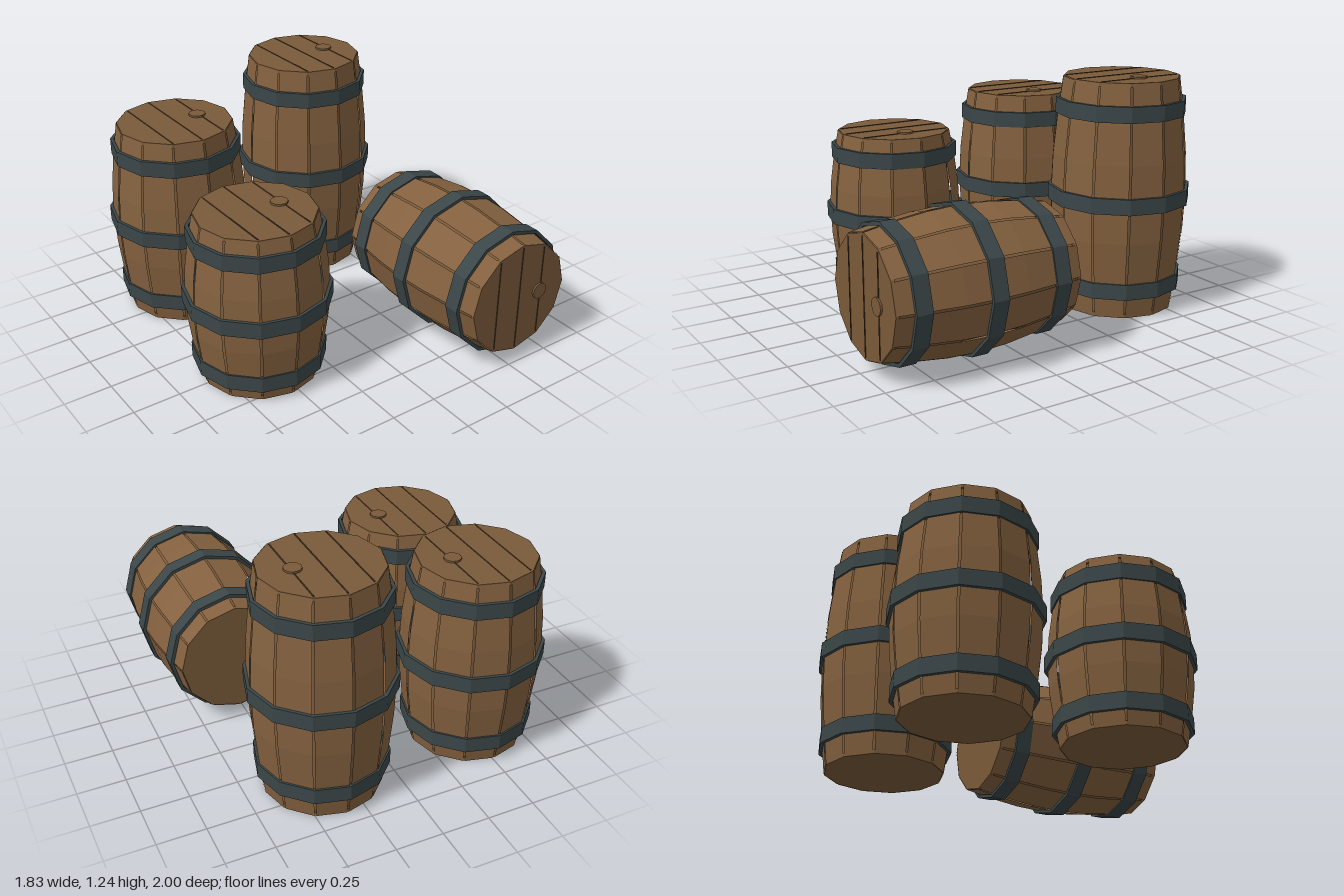
import * as THREE from 'three';

const SIDES = 12;
const material = (name, color, side = THREE.FrontSide) =>
  new THREE.MeshStandardMaterial({ name, color, side });
const staveWood = material('stave wood', 0x84613f, THREE.DoubleSide);
const lidWood = material('lid wood', 0x7a5a39);
const seamWood = material('dark seam', 0x4a3522);
const iron = material('iron band', 0x3b4648);

// Unshared corners give crisp facets
function faceted(geometry) {
  const g = geometry.index ? geometry.toNonIndexed() : geometry;
  g.computeVertexNormals();
  return g;
}

function add(parent, name, geometry, mat, x = 0, y = 0, z = 0) {
  const mesh = new THREE.Mesh(geometry, mat);
  mesh.name = name;
  mesh.position.set(x, y, z);
  parent.add(mesh);
  return mesh;
}

const bulge = t => 0.305 + 0.055 * Math.sin(Math.PI * t);

// One bowed plank, leaving a narrow slit at each side
function staveGeometry(height) {
  const rows = 6, slit = 0.015, step = 2 * Math.PI / SIDES;
  const positions = [], index = [];
  for (let i = 0; i <= rows; i++) {
    const r = bulge(i / rows);
    for (const a of [slit, step - slit]) {
      positions.push(r * Math.sin(a), i / rows * height, r * Math.cos(a));
    }
    if (i < rows) {
      const k = 2 * i;
      index.push(k, k + 1, k + 3, k, k + 3, k + 2);
    }
  }
  const g = new THREE.BufferGeometry();
  g.setAttribute('position', new THREE.Float32BufferAttribute(positions, 3));
  g.setIndex(index);
  return faceted(g);
}

// Twelve-sided hoop with a rectangular section
function bandGeometry(outer) {
  const inner = outer - 0.018, h = 0.0415;
  const profile = [[inner, -h], [outer, -h], [outer, h], [inner, h], [inner, -h]]
    .map(([r, y]) => new THREE.Vector2(r, y));
  return faceted(new THREE.LatheGeometry(profile, SIDES));
}

const disc = (r, h, sides = SIDES) => faceted(new THREE.CylinderGeometry(r, r, h, sides));

function makeBarrel(name, height) {
  const barrel = new THREE.Group();
  barrel.name = name;

  // Staves around a straight inner core
  const stave = staveGeometry(height - 0.003);
  for (let i = 0; i < SIDES; i++) {
    add(barrel, 'stave', stave, staveWood).rotation.y = i * 2 * Math.PI / SIDES;
  }
  add(barrel, 'core', disc(0.293, height - 0.02), lidWood, 0, height / 2);

  // Lid and base
  add(barrel, 'lid', disc(0.303, 0.02), lidWood, 0, height - 0.01);
  add(barrel, 'base', disc(0.303, 0.02), lidWood, 0, 0.01);

  // Plank seams and bung on the lid
  for (const x of [-0.145, 0, 0.145]) {
    const length = 2 * Math.sqrt(0.29 ** 2 - x ** 2);
    add(barrel, 'lidSeam', new THREE.BoxGeometry(0.006, 0.006, length), seamWood, x, height);
  }
  add(barrel, 'bung', disc(0.044, 0.02), lidWood, 0.135, height);

  // Three iron hoops
  for (const t of [0.122, 0.498, 0.875]) {
    add(barrel, 'band', bandGeometry(bulge(t) + 0.016), iron, 0, t * height);
  }
  return barrel;
}

export function createModel() {
  const group = new THREE.Group();
  group.name = 'barrels';

  // Three standing barrels
  const standing = [
    ['shortBarrel', 0.89, -0.535, 0.255],
    ['mediumBarrel', 1.05, -0.51, -0.573],
    ['tallBarrel', 1.23, 0.345, -0.623],
  ];
  for (const [name, height, x, z] of standing) {
    const barrel = makeBarrel(name, height);
    barrel.position.set(x, 0, z);
    group.add(barrel);
  }

  // One barrel on its side with the lid to the front
  const lying = makeBarrel('lyingBarrel', 0.988);
  lying.rotation.x = Math.PI / 2;
  lying.position.set(0.54, 0.38, 0);
  group.add(lying);
  return group;
}
